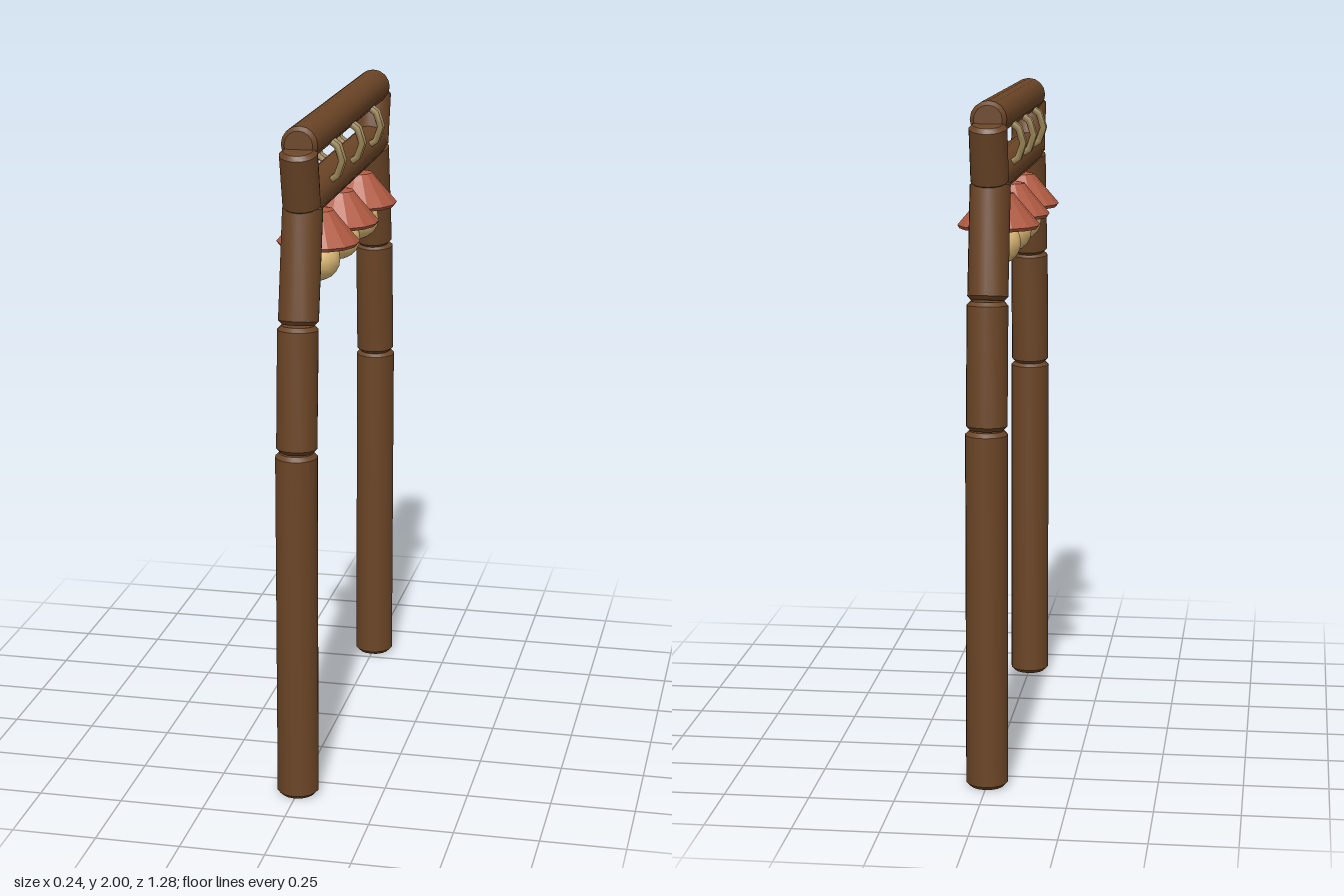
import * as THREE from 'three';
import { toCreasedNormals } from 'three/addons/utils/BufferGeometryUtils.js';

const wood = new THREE.MeshStandardMaterial({ color: 0x6b4526 });
const clay = new THREE.MeshStandardMaterial({ color: 0xb05a42, flatShading: true });
const glow = new THREE.MeshStandardMaterial({ color: 0xe0bc78 });
const rope = new THREE.MeshStandardMaterial({ color: 0x9a8455 });

function lathe(points, sides) {
  return new THREE.LatheGeometry(points.map(([r, y]) => new THREE.Vector2(r, y)), sides);
}

// Log with bevelled ends running between two [z, y] points
function log(name, from, to, r) {
  const a = new THREE.Vector3(0, from[1], from[0]);
  const b = new THREE.Vector3(0, to[1], to[0]);
  const h = a.distanceTo(b) / 2;
  const bevel = 0.012;
  const profile = [[0, -h], [r - bevel, -h], [r, -h + bevel], [r, h - bevel], [r - bevel, h], [0, h]];
  const mesh = new THREE.Mesh(toCreasedNormals(lathe(profile, 16), 0.6), wood);
  mesh.name = name;
  mesh.position.copy(a).add(b).multiplyScalar(0.5);
  mesh.quaternion.setFromUnitVectors(new THREE.Vector3(0, 1, 0), b.sub(a).normalize());
  return mesh;
}

// Hanging lamp: two rope rings, a shade and a round bulb
function lamp(z) {
  const group = new THREE.Group();
  group.name = 'lamp';
  group.position.z = z;
  for (const dz of [-0.014, 0.014]) {
    const ring = new THREE.Mesh(new THREE.TorusGeometry(0.073, 0.01, 6, 10), rope);
    ring.name = 'ropeRing';
    ring.position.set(0, 1.862, dz);
    group.add(ring);
  }
  const shade = new THREE.Mesh(
    lathe([[0, 1.612], [0.115, 1.612], [0.122, 1.622], [0.06, 1.695], [0.045, 1.715], [0, 1.725]], 14), clay);
  shade.name = 'lampShade';
  const bulb = new THREE.Mesh(new THREE.SphereGeometry(0.066, 14, 10), glow);
  bulb.name = 'bulb';
  bulb.position.y = 1.57;
  group.add(shade, bulb);
  return group;
}

export function createModel() {
  const model = new THREE.Group();
  model.name = 'lampGate';

  // Curved side posts made of stacked logs, mirrored front to back
  for (const s of [1, -1]) {
    model.add(
      log('lowerPost', [0.577 * s, 0], [0.577 * s, 1.065], 0.062),
      log('middlePost', [0.573 * s, 1.065], [0.55 * s, 1.435], 0.06),
      log('upperPost', [0.545 * s, 1.435], [0.482 * s, 1.77], 0.059),
      log('topBracket', [0.493 * s, 1.76], [0.537 * s, 1.935], 0.055)
    );
  }

  // Cross beams
  model.add(
    log('lowerBeam', [-0.5, 1.778], [0.5, 1.778], 0.053),
    log('topBeam', [-0.535, 1.947], [0.535, 1.947], 0.053)
  );

  for (const z of [-0.285, 0, 0.285]) model.add(lamp(z));
  return model;
}
